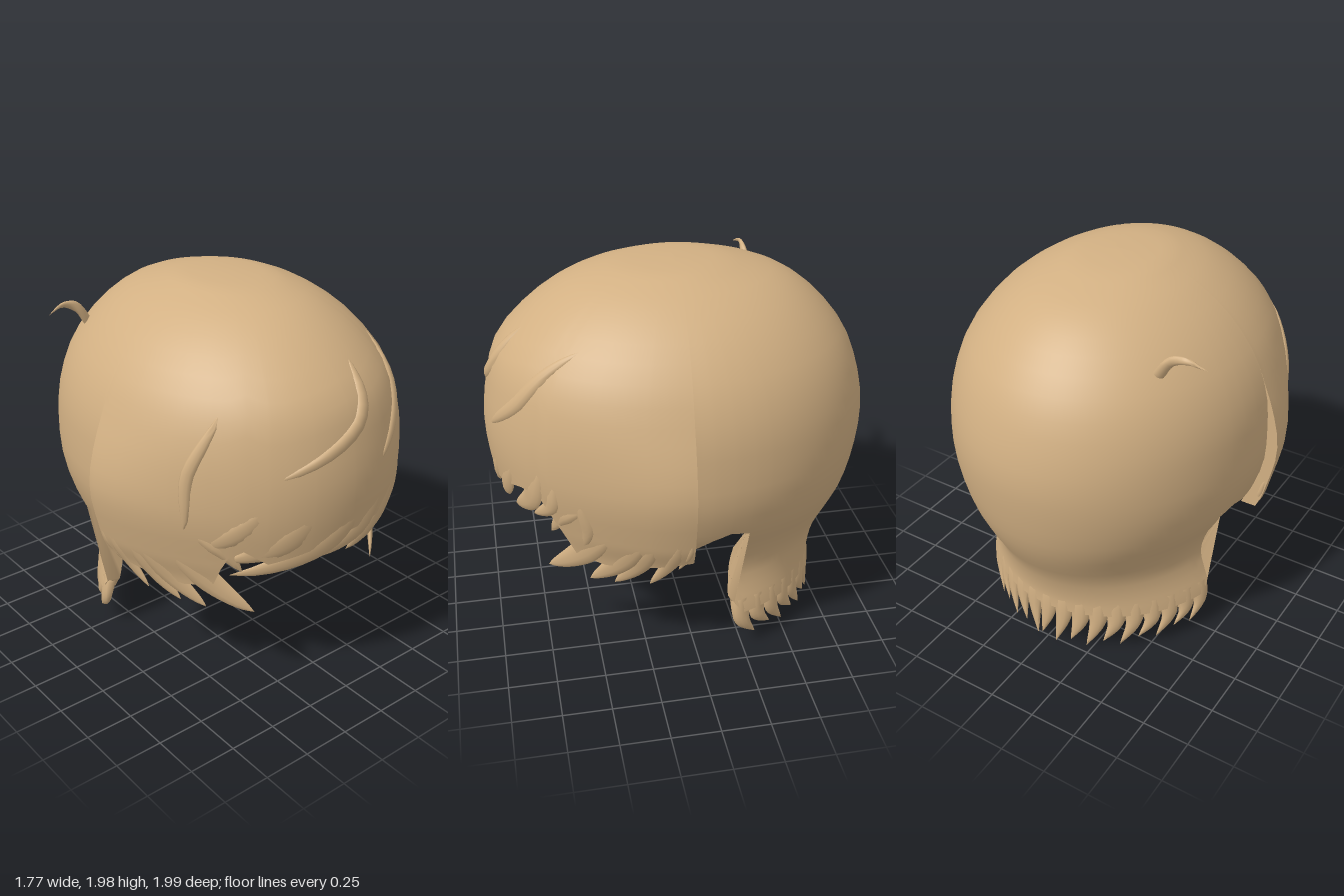
import * as THREE from 'three';
import { toCreasedNormals } from 'three/addons/utils/BufferGeometryUtils.js';

const { smoothstep, degToRad, radToDeg, clamp } = THREE.MathUtils;

// Cross-sections from crown to nape: height, half width, front depth, back depth
const SECTIONS = [
  [2, 0, 0, 0], [1.99, 0.2, 0.25, 0.22], [1.96, 0.3, 0.4, 0.37], [1.9, 0.43, 0.56, 0.56],
  [1.78, 0.59, 0.74, 0.73], [1.6, 0.73, 0.91, 0.88], [1.4, 0.805, 0.97, 0.96],
  [1.2, 0.825, 0.995, 0.995], [1, 0.82, 0.98, 0.98], [0.8, 0.76, 0.94, 0.94],
  [0.65, 0.68, 0.93, 0.88], [0.5, 0.64, 0.93, 0.8], [0.36, 0.67, 0.9, 0.76],
  [0.25, 0.7, 0.9, 0.755], [0, 0.69, 0.9, 0.77],
];

// Hem height by angle (0 = +x, 90 = front, 270 = back)
const FRONT_HEM = [[3, 0.7], [15, 0.66], [30, 0.63], [40, 0.66], [47, 0.85], [52, 1], [60, 1], [75, 0.94],
  [90, 0.94], [105, 0.88], [120, 0.82], [128, 0.9], [133, 0.85], [140, 0.66], [150, 0.63], [165, 0.66], [177, 0.7]];
const BACK_HEM = [[177, 0.72], [183, 0.79], [189, 0.83], [195, 0.8], [195.05, 0.32], [199, 0.25],
  [341, 0.25], [344.95, 0.32], [345, 0.8], [351, 0.83], [357, 0.79], [363, 0.72]];

function section(s) {
  const i = clamp(Math.floor(s), 0, SECTIONS.length - 2), f = s - i;
  const at = (n) => SECTIONS[clamp(n, 0, SECTIONS.length - 1)];
  return [0, 1, 2, 3].map((k) => {
    const a = at(i - 1)[k], b = at(i)[k], c = at(i + 1)[k], d = at(i + 2)[k];
    return b + 0.5 * f * (c - a + f * (2 * a - 5 * b + 4 * c - d + f * (3 * (b - c) + d - a)));
  });
}

function sectionIndex(y) {
  let lo = 0, hi = SECTIONS.length - 1;
  for (let i = 0; i < 30; i++) {
    const mid = (lo + hi) / 2;
    if (section(mid)[0] > y) lo = mid; else hi = mid;
  }
  return lo;
}

// Point on the hair mass; the front part flares out over the ears
function surface(deg, s, front, inner = false) {
  const [y, w, zf, zb] = section(s);
  const a = degToRad(deg), c = Math.cos(a), n = Math.sin(a);
  const edge = Math.min(Math.abs(deg - 3), Math.abs(177 - deg));
  const ear = inner ? 0 : 0.06 * (1 - smoothstep(y, 1.1, 1.5)) * (1 - smoothstep(edge, 0, 40));
  const flare = front ? ear + 0.05 * (1 - smoothstep(y, 0.5, 0.95)) : 0;
  const k = !inner ? 1 : y < 0.64 && !front ? 0.9 : 0.97;
  return new THREE.Vector3((w + flare) * c * k, inner ? y - 0.03 * smoothstep(y, 1, 2) : y,
    (n > 0 ? zf : zb) * n * k);
}

function hemAt(table, deg) {
  let i = 0;
  while (i < table.length - 2 && deg > table[i + 1][0]) i++;
  const [a, ya] = table[i], [b, yb] = table[i + 1];
  return ya + (yb - ya) * clamp((deg - a) / (b - a), 0, 1);
}

// Skin a list of equally long point rows
function skin(rows, crease, capEnds) {
  const n = rows[0].length, pos = [], index = [];
  rows.forEach((r) => r.forEach((p) => pos.push(p.x, p.y, p.z)));
  for (let i = 0; i < rows.length - 1; i++) {
    for (let j = 0; j < n - 1; j++) {
      const a = i * n + j, b = a + n;
      index.push(a, b, a + 1, b, b + 1, a + 1);
    }
  }
  if (capEnds) {
    for (const o of [0, (rows.length - 1) * n]) {
      for (let j = 0; j < n / 2 - 1; j++) {
        const q = [o + j, o + j + 1, o + n - 2 - j, o + n - 1 - j];
        if (o) q.reverse();
        index.push(q[0], q[1], q[2], q[0], q[2], q[3]);
      }
    }
  }
  const g = new THREE.BufferGeometry();
  g.setAttribute('position', new THREE.Float32BufferAttribute(pos, 3));
  g.setIndex(index);
  return toCreasedNormals(g, crease);
}

// Thick shell hanging from the crown down to a hem; rows above the ears line up
function shell(table, front) {
  const angles = table.map((e) => e[0]);
  for (let d = Math.ceil(angles[0]) + 1; d < angles[table.length - 1]; d += 3) {
    if (!angles.includes(d)) angles.push(d);
  }
  angles.sort((a, b) => a - b);
  const rows = angles.map((deg) => {
    const hem = hemAt(table, deg), end = sectionIndex(hem), knee = sectionIndex(Math.max(hem, 0.84));
    const out = [], inn = [];
    for (let i = 0; i <= 30; i++) {
      const s = i <= 20 ? (knee * i) / 20 : knee + ((end - knee) * (i - 20)) / 10;
      out.push(surface(deg, s, front));
      inn.unshift(surface(deg, s, front, true));
    }
    return [...out, ...inn];
  });
  return skin(rows, 0.8, true);
}

// Width along a lock: a buried root, or a taper at both ends, or a blunt root
const FADE = {
  swept: (u) => Math.min(1, u * 2.2) ** 0.7 * (1 - u ** 2.2),
  strand: (u) => Math.sin(Math.PI * u) ** 0.8,
  blunt: (u) => 1 - u ** 1.8,
};

// Flattened curved lock along a path
function lock(points, width, thick, fade) {
  const curve = new THREE.CatmullRomCurve3(points), rows = [];
  for (let i = 0; i <= 14; i++) {
    const u = i / 14, p = curve.getPoint(u), t = curve.getTangent(u);
    const out = new THREE.Vector3(p.x, 0.3 * (p.y - 1), p.z).normalize();
    const side = new THREE.Vector3().crossVectors(t, out).normalize();
    out.crossVectors(side, t).normalize();
    const k = fade(u), ring = [];
    for (let j = 0; j <= 10; j++) {
      const a = (j / 10) * Math.PI * 2;
      ring.push(p.clone().addScaledVector(side, Math.cos(a) * width * k)
        .addScaledVector(out, Math.sin(a) * thick * k));
    }
    rows.push(ring);
  }
  return skin(rows, 1.1, false);
}

export function createModel() {
  const group = new THREE.Group();
  const hair = new THREE.MeshStandardMaterial({ color: 0xd2b083, side: THREE.DoubleSide });
  hair.name = 'sandy hair';
  const add = (name, geometry) => {
    const mesh = new THREE.Mesh(geometry, hair);
    mesh.name = name;
    group.add(mesh);
  };

  add('frontHair', shell(FRONT_HEM, true));
  add('backHair', shell(BACK_HEM, false));

  // Lay a flat path on the hair: by x on the front, or by z on a side
  const lay = (path, angle, sink) => new THREE.SplineCurve(path.map((p) => new THREE.Vector2(...p)))
    .getPoints(8).map((p) => {
      const s = sectionIndex(p.y);
      return surface(angle(p.x, section(s)), s, true).multiply(new THREE.Vector3(sink, 1, sink));
    });
  const frontAngle = (x, [, w]) => radToDeg(Math.acos(clamp(x / w, -1, 1)));
  const sideAngle = (sign) => (z, [, , zf]) => {
    const d = radToDeg(Math.asin(clamp(z / zf, -1, 1)));
    return sign > 0 ? d : 180 - d;
  };

  // Fringe swept to one side
  [
    [[0.1, 1.1], [-0.15, 0.9], [-0.5, 0.73], 0.1],
    [[0.24, 1.15], [0.07, 0.93], [-0.2, 0.82], 0.09],
    [[0.4, 1.18], [0.22, 0.92], [0.02, 0.8], 0.085],
    [[0.53, 1.2], [0.44, 0.95], [0.25, 0.81], 0.085],
    [[-0.15, 1.15], [-0.35, 0.94], [-0.53, 0.82], 0.1],
    [[-0.38, 1.2], [-0.55, 0.98], [-0.67, 0.86], 0.08],
    [[0.58, 1.14], [0.54, 0.95], [0.4, 0.83], 0.06],
    [[0.66, 1.08], [0.63, 0.85], [0.52, 0.66], 0.06],
  ].forEach(([a, b, c, w]) => add('fringeLock', lock(lay([a, b, c], frontAngle, 0.98), w, 0.03, FADE.swept)));

  // Raised strands lying on the forehead hair
  [
    [[0.12, 1.74], [0.03, 1.48], [-0.4, 1.28], 0.04],
    [[0.47, 1.74], [0.39, 1.46], [0.18, 1.25], 0.04],
    [[-0.54, 1.58], [-0.67, 1.3], [-0.68, 0.98], 0.035],
  ].forEach(([a, b, c, w]) => add('raisedStrand', lock(lay([a, b, c], frontAngle, 0.995), w, 0.02, FADE.strand)));

  // Locks in front of the ears, swept forward
  for (const sign of [1, -1]) {
    [
      [[0.56, 1], [0.67, 0.9], [0.73, 0.76], 0.06],
      [[0.42, 0.9], [0.59, 0.66], [0.75, 0.51], 0.085],
      [[0.26, 0.92], [0.4, 0.66], [0.55, 0.5], 0.08],
      [[0.2, 0.96], [0.31, 0.67], [0.43, 0.51], 0.07],
      [[0.1, 0.96], [0.16, 0.7], [0.26, 0.53], 0.055],
      [[0.06, 0.9], [0.075, 0.76], [0.12, 0.64], 0.03],
    ].forEach(([a, b, c, w]) => add('sideLock', lock(lay([a, b, c], sideAngle(sign), 0.98), w, 0.025, FADE.swept)));
  }

  // Row of small locks around the nape, leaning towards the back
  const count = 19;
  for (let i = 0; i < count; i++) {
    const deg = 199 + (142 * i) / (count - 1), lean = (270 - deg) / 71;
    const tip = 0.01 + 0.08 * Math.abs(lean) + (i % 2) * 0.03;
    const path = [[0, 0.32], [0.5, 0.19], [6, tip]].map(([d, y], j) => surface(
      deg + d * Math.sign(lean || 1) * Math.min(1, 0.4 + Math.abs(lean)), sectionIndex(y), false)
      .multiplyScalar(1).multiply(new THREE.Vector3(0.955 + 0.02 * j, 1, 0.955 + 0.02 * j)));
    add('napeLock', lock(path, 0.06, 0.034, FADE.blunt));
  }

  // Loose tuft on the crown
  add('tuft', lock([[-0.5, 1.69, -0.5], [-0.57, 1.79, -0.5], [-0.65, 1.815, -0.5], [-0.745, 1.785, -0.48]]
    .map((p) => new THREE.Vector3(...p)), 0.03, 0.018, FADE.blunt));

  return group;
}
